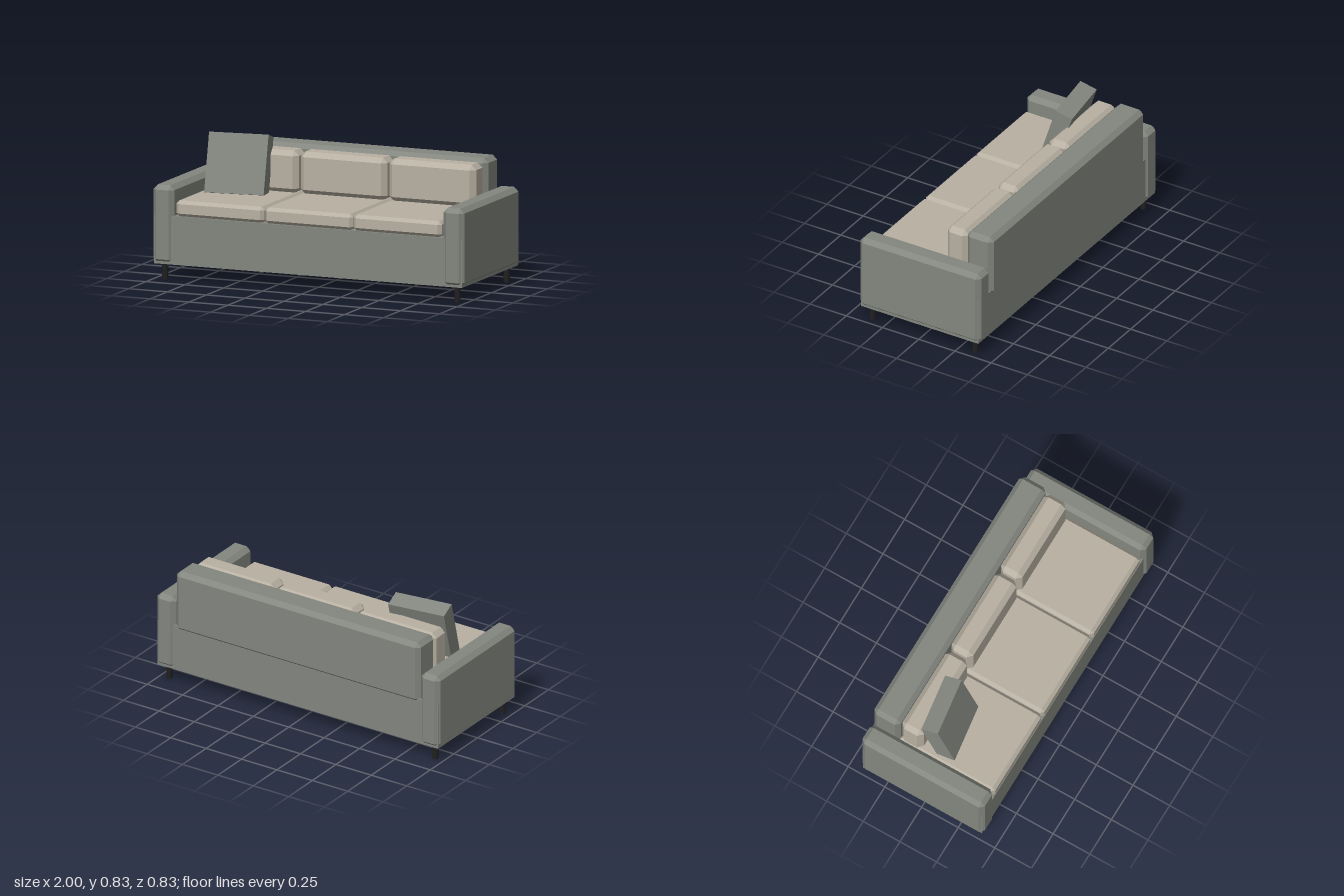
import * as THREE from 'three';
import { ConvexGeometry } from 'three/addons/geometries/ConvexGeometry.js';

// Box between two corners with every edge cut at 45 degrees by c
function chamferBox([x0, y0, z0], [x1, y1, z1], c) {
  const half = [(x1 - x0) / 2, (y1 - y0) / 2, (z1 - z0) / 2];
  const points = [];
  for (const sx of [-1, 1]) for (const sy of [-1, 1]) for (const sz of [-1, 1]) {
    for (let axis = 0; axis < 3; axis++) {
      const p = half.map((h, i) => (i === axis ? h : h - c));
      points.push(new THREE.Vector3(sx * p[0], sy * p[1], sz * p[2]));
    }
  }
  return new ConvexGeometry(points).translate((x0 + x1) / 2, (y0 + y1) / 2, (z0 + z1) / 2);
}

export function createModel() {
  const greyFabric = new THREE.MeshStandardMaterial({ name: 'grey fabric', color: 0x83877f });
  const beigeFabric = new THREE.MeshStandardMaterial({ name: 'beige fabric', color: 0xb8b0a2 });
  const blackLeg = new THREE.MeshStandardMaterial({ name: 'black leg', color: 0x202020 });

  const sofa = new THREE.Group();
  sofa.name = 'sofa';
  const add = (name, geometry, material) => {
    const mesh = new THREE.Mesh(geometry, material);
    mesh.name = name;
    sofa.add(mesh);
    return mesh;
  };

  // Frame: plain base and bevelled backrest
  add('base', new THREE.BoxGeometry(1.98, 0.29, 0.81).translate(0, 0.24, 0), greyFabric);
  add('backrest', chamferBox([-0.862, 0.357, -0.417], [0.862, 0.747, -0.237], 0.027), greyFabric);

  // Arms and legs, mirrored
  for (const side of [-1, 1]) {
    const label = side > 0 ? 'left' : 'right';
    add(`${label}Arm`, chamferBox([-0.067, 0.096, -0.417], [0.067, 0.565, 0.417], 0.027), greyFabric)
      .position.x = side * 0.933;
    for (const end of [-1, 1]) {
      add(`${label}${end > 0 ? 'Front' : 'Back'}Leg`, new THREE.CylinderGeometry(0.018, 0.018, 0.1, 16), blackLeg)
        .position.set(side * 0.94, 0.05, end * 0.355);
    }
  }

  // Three seat cushions with a back cushion behind each
  for (let i = -1; i <= 1; i++) {
    add('seatCushion', chamferBox([-0.283, 0.383, -0.25], [0.283, 0.48, 0.405], 0.02), beigeFabric)
      .position.x = i * 0.57;
    add('backCushion', chamferBox([-0.279, 0.475, -0.237], [0.279, 0.73, -0.09], 0.03), beigeFabric)
      .position.x = i * 0.57;
  }

  // Loose pillow leaning back and turned slightly
  const pillow = add('pillow', new THREE.BoxGeometry(0.364, 0.36, 0.11), greyFabric);
  pillow.position.set(-0.635, 0.639, -0.022);
  pillow.rotation.set(-0.3, 0.14, 0, 'YXZ');

  return sofa;
}
